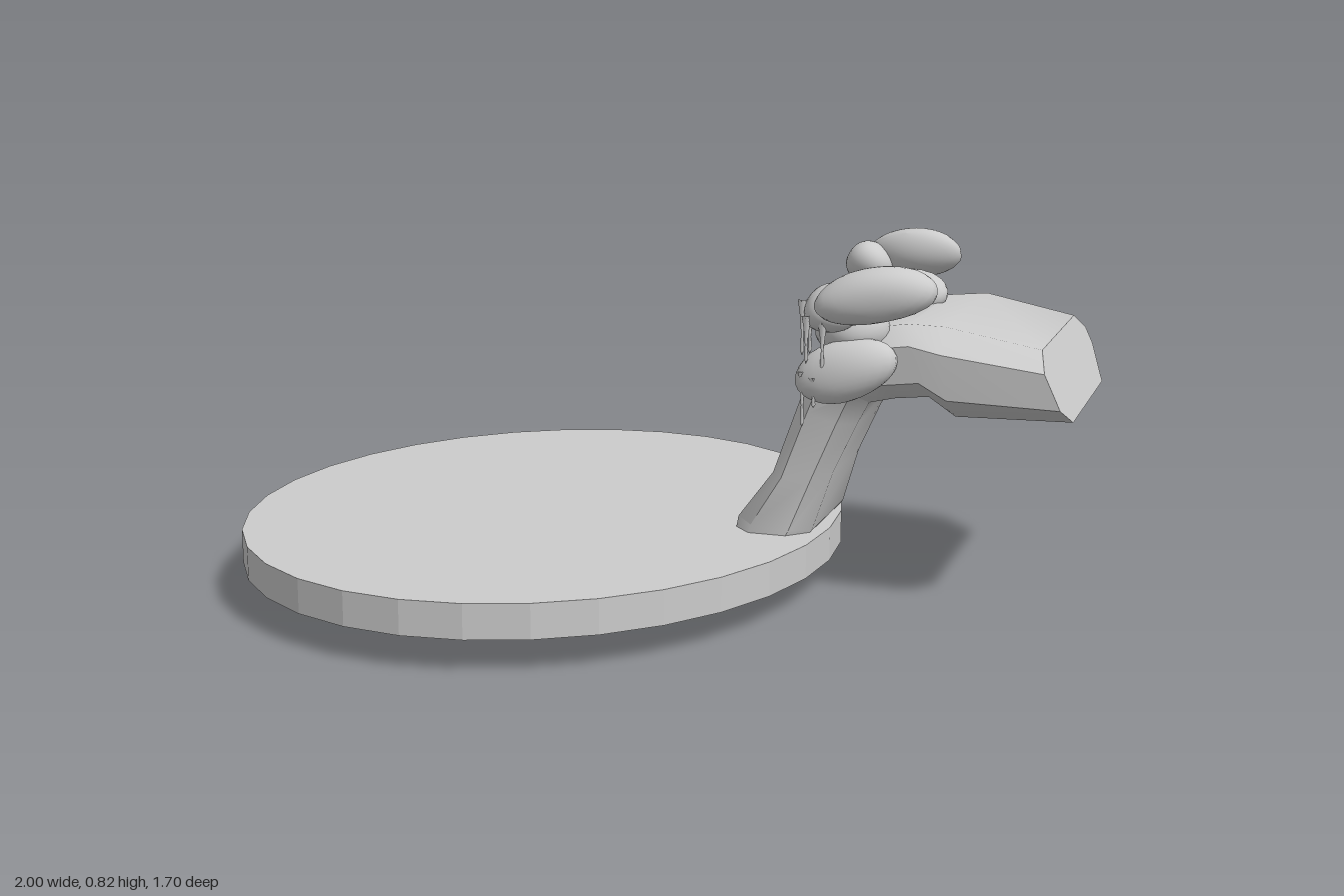
import * as THREE from 'three';
import { toCreasedNormals } from 'three/addons/utils/BufferGeometryUtils.js';

const material = new THREE.MeshStandardMaterial({ color: 0xcccccc });
const solid = (geometry, name) => {
  const mesh = new THREE.Mesh(geometry, material);
  mesh.name = name;
  return mesh;
};

// Bevelled eight-sided sections: outer x,y, inner x,y, z range, bevel in z,
// then the two bevel heights (fractions from outer to inner) on the back side.
const SECTIONS = [
  [0.165, 0.01, 0.29, 0.045, -0.30, 0.11, 0.03, 0.2, 0.8],
  [0.21, 0.10, 0.34, 0.09, -0.30, 0.11, 0.03, 0.2, 0.8],
  [0.22, 0.19, 0.40, 0.17, -0.295, 0.105, 0.05, 0.25, 0.75],
  [0.30, 0.30, 0.445, 0.31, -0.275, 0.10, 0.06, 0.25, 0.75],
  [0.36, 0.47, 0.50, 0.43, -0.265, 0.10, 0.06, 0.25, 0.75],
  [0.41, 0.60, 0.53, 0.485, -0.27, 0.11, 0.06, 0.25, 0.75],
  [0.52, 0.66, 0.59, 0.50, -0.33, 0.115, 0.06, 0.25, 0.75],
  [0.62, 0.675, 0.67, 0.51, -0.46, 0.12, 0.06, 0.25, 0.65],
  [0.70, 0.67, 0.73, 0.465, -0.57, 0.125, 0.08, 0.25, 0.5],
  [0.92, 0.63, 0.995, 0.47, -0.54, 0.125, 0.08, 0.25, 0.5],
];

function stalkGeometry() {
  const points = [], index = [], n = 8;
  for (const [ax, ay, bx, by, z0, z1, b, s0, s1] of SECTIONS) {
    const ring = [[1, z1 - b], [1, z0 + b], [s1, z0], [s0, z0], [0, z0 + b], [0, z1 - b], [0.25, z1], [0.75, z1]];
    for (const [s, z] of ring) points.push(ax + (bx - ax) * s, ay + (by - ay) * s, z);
  }
  for (let i = 0; i < SECTIONS.length - 1; i++) {
    for (let j = 0; j < n; j++) {
      const a = i * n + j, b = i * n + (j + 1) % n;
      index.push(a, b, b + n, a, b + n, a + n);
    }
  }
  // End caps
  const last = (SECTIONS.length - 1) * n;
  for (let j = 1; j < n - 1; j++) {
    index.push(0, j + 1, j, last, last + j, last + j + 1);
  }
  const geometry = new THREE.BufferGeometry();
  geometry.setAttribute('position', new THREE.Float32BufferAttribute(points, 3));
  geometry.setIndex(index);
  return toCreasedNormals(geometry, 0.85);
}

// Rounded lump: an ellipsoid with a soft, uneven swelling
function lump([x, y, z, rx, ry, rz, tiltX, tiltZ], seed) {
  const geometry = new THREE.SphereGeometry(1, 24, 16);
  const p = geometry.attributes.position, v = new THREE.Vector3();
  for (let i = 0; i < p.count; i++) {
    v.fromBufferAttribute(p, i);
    const k = 1 + 0.07 * Math.sin(2.5 * v.x + seed) * Math.cos(2 * v.y - seed) + 0.05 * Math.sin(3 * v.z + 2 * seed);
    p.setXYZ(i, v.x * k, v.y * k, v.z * k);
  }
  geometry.scale(rx, ry, rz);
  geometry.computeVertexNormals();
  const mesh = solid(geometry, 'lump');
  mesh.position.set(x, y, z);
  mesh.rotation.set(tiltX, 0, tiltZ);
  return mesh;
}

// Thin drip hanging from its top point
function drip([x, y, z, length]) {
  const profile = [[0, -1], [0.005, -0.9], [0.003, -0.6], [0.007, -0.25], [0.012, 0]]
    .map(([r, h]) => new THREE.Vector2(r, h * length));
  const mesh = solid(new THREE.LatheGeometry(profile, 7), 'drip');
  mesh.position.set(x, y, z);
  return mesh;
}

function cluster(name, lumps, drips) {
  const group = new THREE.Group();
  group.name = name;
  lumps.forEach((l, i) => group.add(lump(l, i + 1)));
  drips.forEach((d) => group.add(drip(d)));
  return group;
}

export function createModel() {
  const model = new THREE.Group();
  model.name = 'stalkOnDisc';

  // Oval base with faceted rim
  const disc = new THREE.CylinderGeometry(1, 1, 0.08, 32);
  disc.scale(0.715, 1, 0.85);
  const base = solid(toCreasedNormals(disc, 0.1), 'baseDisc');
  base.position.set(-0.285, 0.125, 0);
  model.add(base);

  // Bent stalk widening into the overhanging head
  model.add(solid(stalkGeometry(), 'stalkAndHead'));

  model.add(cluster('frontLumps', [
    [0.57, 0.755, 0.19, 0.135, 0.062, 0.06, -0.6, 0.18],
    [0.46, 0.71, 0.13, 0.07, 0.05, 0.065, 0.5, 0.2],
    [0.49, 0.57, 0.13, 0.12, 0.07, 0.06, -0.3, 0.35],
    [0.49, 0.66, 0.07, 0.085, 0.06, 0.075, 0.4, 0],
  ], [
    [0.39, 0.73, 0.13, 0.13], [0.40, 0.57, 0.16, 0.13], [0.41, 0.70, 0.17, 0.11],
    [0.43, 0.56, 0.175, 0.07], [0.45, 0.69, 0.18, 0.11], [0.40, 0.70, 0.10, 0.10],
  ]));

  model.add(cluster('backLumps', [
    [0.52, 0.765, -0.43, 0.12, 0.068, 0.055, 0.6, 0.12],
    [0.42, 0.745, -0.39, 0.06, 0.055, 0.065, -0.3, 0],
    [0.52, 0.69, -0.30, 0.115, 0.055, 0.07, 0.5, 0.1],
    [0.47, 0.575, -0.30, 0.09, 0.075, 0.065, 0.2, 0.3],
  ], [
    [0.38, 0.74, -0.38, 0.14], [0.40, 0.56, -0.31, 0.17], [0.41, 0.55, -0.34, 0.14],
    [0.43, 0.54, -0.36, 0.11], [0.39, 0.72, -0.35, 0.13], [0.44, 0.72, -0.41, 0.11],
  ]));
  return model;
}
